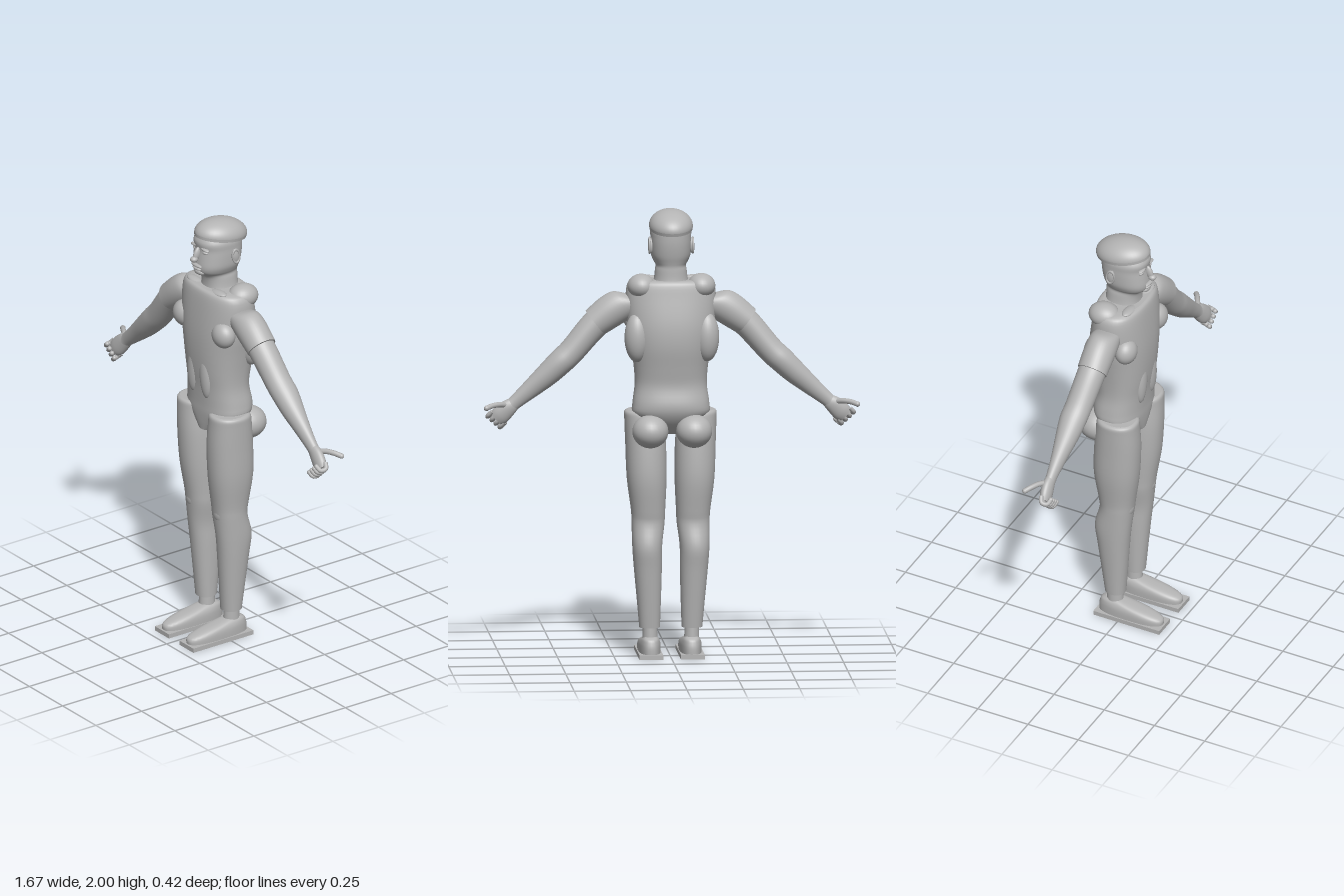
import * as THREE from 'three';

const grey = new THREE.MeshStandardMaterial({ color: 0xb4b4b4 });
grey.name = 'plain grey';

// Smooth in-between values for a list of cross-sections
function resample(rows, steps) {
  const out = [], last = rows.length - 1;
  for (let i = 0; i < last; i++) {
    const p = [rows[Math.max(i - 1, 0)], rows[i], rows[i + 1], rows[Math.min(i + 2, last)]];
    for (let k = 0; k < steps; k++) {
      const t = k / steps;
      out.push(p[1].map((v, j) => {
        const a = p[0][j], c = p[2][j], d = p[3][j];
        return v + 0.5 * t * (c - a + t * (2 * a - 5 * v + 4 * c - d + t * (3 * (v - c) + d - a)));
      }));
    }
  }
  out.push(rows[last]);
  return out;
}

// Closed skin through rings [x, y, z, half width, half depth, tilt], listed from top to bottom
function loft(rows, { steps = 4, power = 2, n = 36 } = {}) {
  const rings = resample(rows, steps), pos = [], idx = [];
  const curve = v => Math.sign(v) * Math.abs(v) ** (2 / power);
  const addRing = ([x, y, z, a, b, tilt]) => {
    for (let i = 0; i < n; i++) {
      const t = (i / n) * Math.PI * 2, u = curve(Math.cos(t)) * a;
      pos.push(x + u * Math.cos(tilt), y + u * Math.sin(tilt), z + curve(Math.sin(t)) * b);
    }
  };
  rings.forEach(addRing);
  for (let r = 0; r < rings.length - 1; r++) {
    for (let i = 0; i < n; i++) {
      const a = r * n + i, b = r * n + (i + 1) % n;
      idx.push(a, b, a + n, b, b + n, a + n);
    }
  }
  // End caps have their own corners so that the rims stay crisp
  [[rings[0], false], [rings[rings.length - 1], true]].forEach(([ring, bottom]) => {
    const start = pos.length / 3;
    addRing(ring);
    pos.push(ring[0], ring[1], ring[2]);
    for (let i = 0; i < n; i++) {
      const a = start + i, b = start + (i + 1) % n, c = start + n;
      if (bottom) idx.push(a, b, c); else idx.push(b, a, c);
    }
  });
  const g = new THREE.BufferGeometry();
  g.setAttribute('position', new THREE.Float32BufferAttribute(pos, 3));
  g.setIndex(idx);
  g.computeVertexNormals();
  return g;
}

// Upright section from [y, front z, back z, half width, x]
const upright = s => ([y, f, b, w, x = 0]) => [s * x, y, (f + b) / 2, w, (f - b) / 2, 0];

export function createModel() {
  const model = new THREE.Group();
  model.name = 'figure';
  const add = (name, geometry) => {
    const m = new THREE.Mesh(geometry, grey);
    m.name = name;
    model.add(m);
    return m;
  };
  const blob = (name, x, y, z, rx, ry, rz, rotZ = 0, rotX = 0) => {
    const g = new THREE.SphereGeometry(1, 28, 18).scale(rx, ry, rz);
    g.rotateX(rotX).rotateZ(rotZ).translate(x, y, z);
    return add(name, g);
  };
  const finger = (name, points, r) => {
    const path = new THREE.CatmullRomCurve3(points.map(p => new THREE.Vector3(...p)));
    add(name, new THREE.TubeGeometry(path, 12, r, 10));
    const tip = points[points.length - 1];
    blob(name + 'Tip', ...tip, r, r, r);
  };

  // Torso narrowing into the crotch
  add('torso', loft([
    [1.692, 0.06, -0.12, 0.13], [1.68, 0.076, -0.14, 0.185], [1.62, 0.086, -0.152, 0.2],
    [1.5, 0.095, -0.17, 0.195], [1.4, 0.095, -0.17, 0.178], [1.3, 0.088, -0.153, 0.164],
    [1.22, 0.078, -0.142, 0.16], [1.14, 0.073, -0.155, 0.17], [1.09, 0.072, -0.145, 0.167],
    [1.04, 0.068, -0.11, 0.1], [1.0, 0.062, -0.06, 0.045]].map(upright(1)), { power: 2.35, n: 48 }));

  // Head and neck
  add('headAndNeck', loft([
    [1.965, 0.045, -0.12, 0.06], [1.92, 0.078, -0.138, 0.088], [1.88, 0.076, -0.14, 0.09],
    [1.84, 0.081, -0.137, 0.09], [1.8, 0.085, -0.13, 0.087], [1.772, 0.078, -0.122, 0.076],
    [1.755, 0.056, -0.118, 0.067], [1.735, 0.042, -0.118, 0.07], [1.69, 0.04, -0.12, 0.076],
    [1.65, 0.05, -0.13, 0.09]].map(upright(1)), { power: 2.3 }));

  // Face
  blob('noseBridge', 0, 1.86, 0.084, 0.012, 0.034, 0.018, 0, -0.35);
  blob('noseTip', 0, 1.838, 0.1, 0.017, 0.014, 0.018);
  blob('upperLip', 0, 1.806, 0.086, 0.036, 0.008, 0.012);
  blob('lowerLip', 0, 1.791, 0.084, 0.029, 0.007, 0.012);
  blob('chin', 0, 1.772, 0.068, 0.034, 0.016, 0.02);

  // Cap: a tilted dome with a thick rim
  const cap = new THREE.Group();
  cap.name = 'cap';
  const dome = new THREE.Mesh(new THREE.SphereGeometry(1, 40, 16, 0, Math.PI * 2, 0, Math.PI / 2), grey);
  dome.name = 'capDome';
  dome.scale.set(0.097, 0.07, 0.128);
  const rim = new THREE.Mesh(new THREE.CylinderGeometry(1, 0.98, 0.014, 40), grey);
  rim.name = 'capRim';
  rim.scale.set(0.097, 1, 0.128);
  rim.position.y = -0.007;
  cap.add(dome, rim);
  cap.position.set(0, 1.931, -0.045);
  cap.rotation.x = -0.16;
  model.add(cap);

  for (const s of [1, -1]) {
    const side = s > 0 ? 'left' : 'right';

    // Ears, eyes and brows
    blob(side + 'Ear', s * 0.09, 1.845, -0.06, 0.011, 0.035, 0.02, 0, 0.15);
    const earRim = new THREE.TorusGeometry(0.022, 0.005, 8, 24).scale(0.85, 1.45, 1);
    add(side + 'EarRim', earRim.rotateY(Math.PI / 2).rotateX(0.15).translate(s * 0.096, 1.845, -0.06));
    blob(side + 'Eye', s * 0.035, 1.872, 0.063, 0.017, 0.008, 0.012);
    blob(side + 'Brow', s * 0.037, 1.89, 0.067, 0.027, 0.007, 0.013, -s * 0.1);

    // Muscles of the trunk
    blob(side + 'ShoulderMuscle', s * 0.133, 1.665, -0.07, 0.062, 0.055, 0.072);
    blob(side + 'Collarbone', s * 0.085, 1.685, 0.03, 0.055, 0.014, 0.025, s * 0.1);
    blob(side + 'Chest', s * 0.146, 1.508, 0.045, 0.06, 0.06, 0.049);
    blob(side + 'BackMuscle', s * 0.155, 1.44, -0.1, 0.055, 0.11, 0.058);
    blob(side + 'Abdomen', s * 0.045, 1.285, 0.068, 0.036, 0.115, 0.024, s * 0.05);
    blob(side + 'Buttock', s * 0.097, 1.022, -0.122, 0.08, 0.074, 0.086);

    // Sleeve and arm
    const arm = ([x, y, z, a, b, tilt]) => [s * x, y, z, a, b, s * tilt];
    add(side + 'Sleeve', loft([
      [0.165, 1.6, -0.03, 0.045, 0.055, 0.65], [0.2, 1.588, -0.03, 0.075, 0.066, 0.7],
      [0.26, 1.553, -0.028, 0.076, 0.07, 0.82], [0.335, 1.498, -0.026, 0.067, 0.068, 0.9]].map(arm)));
    add(side + 'Arm', loft([
      [0.3, 1.525, -0.026, 0.063, 0.064, 0.9], [0.36, 1.465, -0.03, 0.062, 0.062, 0.88],
      [0.44, 1.372, -0.038, 0.058, 0.06, 0.85], [0.49, 1.325, -0.042, 0.057, 0.06, 0.8],
      [0.55, 1.268, -0.042, 0.052, 0.05, 0.78], [0.62, 1.207, -0.042, 0.042, 0.035, 0.74],
      [0.69, 1.148, -0.042, 0.032, 0.024, 0.72], [0.715, 1.128, -0.042, 0.032, 0.024, 0.72]].map(arm)));

    // Hand with curled fingers and a stretched thumb
    add(side + 'Palm', loft([
      [0.69, 1.148, -0.042, 0.028, 0.02, 0.72], [0.72, 1.125, -0.042, 0.038, 0.025, 0.75],
      [0.755, 1.09, -0.037, 0.042, 0.026, 0.8], [0.775, 1.07, -0.033, 0.035, 0.022, 0.8]].map(arm)));
    for (let i = 0; i < 4; i++) {
      const dx = i * 0.018, dy = i * 0.016;
      finger(side + 'Finger' + (i + 1), [
        [s * (0.738 + dx), 1.058 + dy, -0.042], [s * (0.757 + dx), 1.038 + dy, -0.03],
        [s * (0.752 + dx), 1.034 + dy, -0.006], [s * (0.733 + dx), 1.05 + dy, 0.003]], 0.0105);
    }
    finger(side + 'Thumb', [
      [s * 0.725, 1.135, -0.045], [s * 0.76, 1.142, -0.07],
      [s * 0.795, 1.14, -0.09], [s * 0.822, 1.132, -0.108]], 0.012);

    // Trouser leg, open-looking at the hip and cut off above the ankle
    add(side + 'Leg', loft([
      [1.106, 0.072, -0.085, 0.072, 0.119], [1.096, 0.084, -0.1, 0.085, 0.119],
      [1.06, 0.087, -0.108, 0.087, 0.117], [0.95, 0.09, -0.12, 0.09, 0.11],
      [0.8, 0.082, -0.125, 0.088, 0.106], [0.66, 0.062, -0.106, 0.076, 0.1],
      [0.6, 0.055, -0.1, 0.073, 0.1], [0.5, 0.044, -0.123, 0.066, 0.105],
      [0.4, 0.034, -0.112, 0.062, 0.102], [0.25, 0.022, -0.094, 0.053, 0.097],
      [0.135, 0.013, -0.08, 0.046, 0.094]].map(upright(s)), { power: 2.2 }));
    blob(side + 'Knee', s * 0.102, 0.615, 0.018, 0.05, 0.055, 0.04);

    // Ankle, shoe and flat sole
    add(side + 'Ankle', loft([
      [0.15, -0.002, -0.072, 0.031, 0.093], [0.07, 0.002, -0.076, 0.034, 0.092]].map(upright(s))));
    add(side + 'Shoe', loft([
      [0.094, -0.005, -0.08, 0.028, 0.091], [0.083, 0.05, -0.1, 0.038, 0.091],
      [0.065, 0.14, -0.108, 0.046, 0.091], [0.045, 0.195, -0.112, 0.049, 0.091],
      [0.018, 0.2, -0.112, 0.049, 0.091]].map(upright(s)), { power: 2.6 }));
    add(side + 'Sole', new THREE.BoxGeometry(0.106, 0.02, 0.328).translate(s * 0.092, 0.01, 0.045));
  }
  return model;
}
